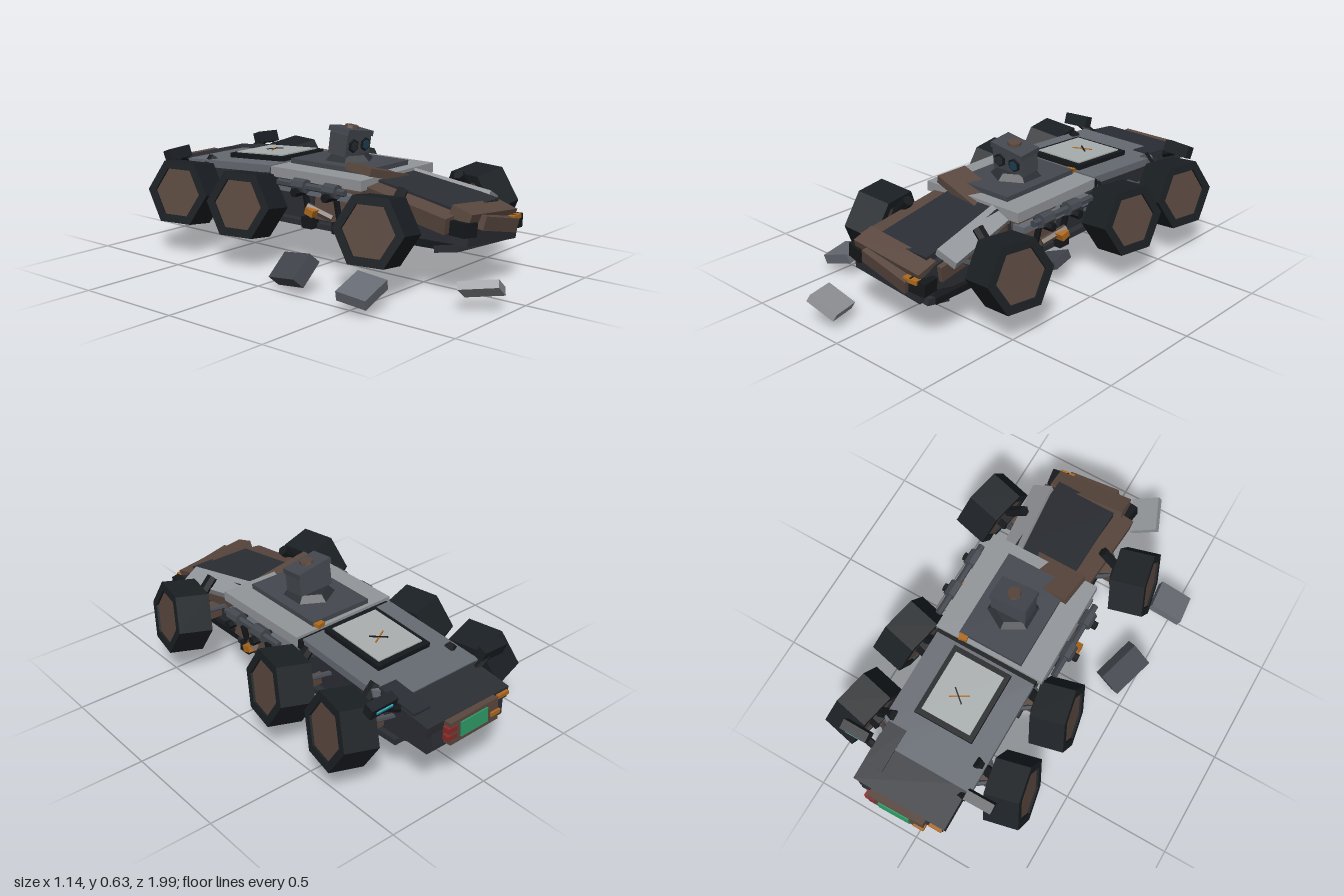
import * as THREE from 'three';

const C = {
  tyre: 0x1b2024, black: 0x15181b, dark: 0x2b2e34, slate: 0x44484f, grey: 0x666a72,
  light: 0x93969a, pale: 0xa9aeae, rust: 0x5a483f, amber: 0xb06a1c, red: 0x8a2a28,
  green: 0x2f9a66, cyan: 0x2aa5b8, lens: 0x1f4558,
};
const mats = {};
const mat = (c) => (mats[c] ??= new THREE.MeshStandardMaterial({ color: C[c], flatShading: true }));

function add(parent, name, geo, color, pos = [0, 0, 0], rot = [0, 0, 0]) {
  const m = new THREE.Mesh(geo, mat(color));
  m.name = name;
  m.position.set(...pos);
  m.rotation.set(...rot);
  parent.add(m);
  return m;
}
const box = (p, name, size, pos, color, rot) => add(p, name, new THREE.BoxGeometry(...size), color, pos, rot);

// Straight bar between two points
function rod(p, name, a, b, r, color, sides = 6) {
  const A = new THREE.Vector3(...a), d = new THREE.Vector3(...b).sub(A);
  const m = add(p, name, new THREE.CylinderGeometry(r, r, d.length(), sides), color);
  m.position.copy(A).addScaledVector(d, 0.5);
  m.quaternion.setFromUnitVectors(new THREE.Vector3(0, 1, 0), d.normalize());
  return m;
}

// Side profile (z, y) extruded across the width
function sideExtrude(points, width) {
  const shape = new THREE.Shape(points.map((q) => new THREE.Vector2(...q)));
  return new THREE.ExtrudeGeometry(shape, { depth: width, bevelEnabled: false })
    .rotateY(-Math.PI / 2).translate(width / 2, 0, 0);
}

// Hexagonal wheel, cambered and toed; s is the side (+1 or -1)
function wheel(p, s, z) {
  const g = new THREE.Group();
  g.name = 'wheel';
  g.position.set(s * 0.38, 0.27, z);
  g.rotation.set(0, -s * 0.2, s * 0.16);
  const ring = [[0.122, -0.08], [0.163, -0.08], [0.163, 0.08], [0.122, 0.08], [0.122, -0.08]];
  const tyre = new THREE.LatheGeometry(ring.map((q) => new THREE.Vector2(...q)), 6);
  const side = [0, 0, -Math.PI / 2];
  add(g, 'tyre', tyre, 'tyre', [0, 0, 0], side);
  add(g, 'wheelDisc', new THREE.CylinderGeometry(0.126, 0.126, 0.14, 6), 'rust', [0, 0, 0], side);
  add(g, 'innerHub', new THREE.CylinderGeometry(0.045, 0.045, 0.05, 6), 'black', [-s * 0.085, 0, 0], side);
  p.add(g);
}

function buildRunningGear(p) {
  for (const s of [1, -1]) for (const z of [0.475, -0.255, -0.645]) {
    wheel(p, s, z);
    box(p, 'axle', [0.16, 0.055, 0.06], [s * 0.24, 0.245, z - 0.01], 'rust');
    for (const dz of [0.1, -0.1])
      rod(p, 'suspensionArm', [s * 0.18, 0.3, z + dz], [s * 0.3, 0.25, z], 0.012, 'slate');
    rod(p, 'shockAbsorber', [s * 0.205, 0.41, z], [s * 0.29, 0.32, z], 0.025, 'black');
  }
}

function buildHull(p) {
  add(p, 'hull', sideExtrude([[0.74, 0.22], [0.76, 0.29], [0.7, 0.32], [0.3, 0.39], [-0.3, 0.4],
    [-0.75, 0.37], [-0.95, 0.345], [-0.96, 0.27], [-0.8, 0.21], [0.3, 0.19], [0.6, 0.19]], 0.38), 'dark');
  // Belly plates
  box(p, 'bellyPlate', [0.43, 0.025, 0.46], [0, 0.185, -0.55], 'dark', [0.04, 0, 0.02]);
  box(p, 'bellyPlate', [0.45, 0.025, 0.6], [0, 0.185, -0.04], 'dark', [0, 0.02, 0]);
  box(p, 'bellyPlate', [0.42, 0.03, 0.5], [0, 0.185, 0.48], 'black', [-0.02, 0.03, -0.06]);

  // Rear deck with a broken corner
  const d = new THREE.Shape([[-0.25, 0.23], [0.24, 0.23], [0.24, 0.67], [0.21, 0.69], [0.13, 0.69],
    [0.13, 0.77], [-0.25, 0.77]].map((q) => new THREE.Vector2(...q)));
  const deckGeo = new THREE.ExtrudeGeometry(d, { depth: 0.035, bevelEnabled: false });
  deckGeo.rotateX(-Math.PI / 2).translate(0, 0, 0.5);
  add(p, 'rearDeck', deckGeo, 'grey', [0, 0.378, -0.5], [-0.06, 0, 0]);

  // Roof hatch
  const hatch = new THREE.Group();
  hatch.name = 'hatch';
  hatch.position.set(-0.005, 0.422, -0.42);
  hatch.rotation.x = -0.06;
  box(hatch, 'hatchFrame', [0.285, 0.035, 0.34], [0, 0, 0], 'black');
  box(hatch, 'hatchPanel', [0.24, 0.01, 0.29], [0, 0.018, 0], 'pale');
  box(hatch, 'crack', [0.09, 0.004, 0.006], [0.005, 0.025, -0.02], 'amber', [0, 0.5, 0]);
  box(hatch, 'crack', [0.08, 0.004, 0.006], [0.01, 0.026, -0.02], 'black', [0, -0.7, 0]);
  p.add(hatch);

  // Middle deck
  box(p, 'middleDeck', [0.53, 0.045, 0.51], [-0.005, 0.41, 0.045], 'light', [0, 0.01, 0]);
  box(p, 'deckSeam', [0.5, 0.04, 0.03], [0, 0.4, -0.225], 'black');
  box(p, 'bentPlate', [0.32, 0.035, 0.15], [-0.04, 0.424, 0.245], 'rust', [0.06, -0.12, -0.24]);

  // Bonnet and its loosened side panels
  box(p, 'bonnet', [0.3, 0.04, 0.43], [0.005, 0.364, 0.5], 'dark', [0.17, 0, 0]);
  box(p, 'loosePanel', [0.1, 0.035, 0.38], [0.18, 0.365, 0.47], 'light', [0.16, 0.13, -0.45]);
  box(p, 'bonnetSide', [0.09, 0.07, 0.43], [-0.185, 0.335, 0.5], 'rust', [0.17, -0.04, 0.1]);
  box(p, 'bonnetSide', [0.07, 0.07, 0.4], [0.17, 0.31, 0.49], 'rust', [0.15, 0.03, -0.1]);
}

function buildNose(p) {
  box(p, 'nosePlate', [0.37, 0.05, 0.1], [0.0, 0.318, 0.74], 'rust', [0.3, 0, -0.12]);
  box(p, 'bumper', [0.26, 0.06, 0.07], [0.015, 0.28, 0.785], 'rust', [0.15, -0.04, -0.22]);
  box(p, 'lowerBumper', [0.38, 0.07, 0.08], [0, 0.235, 0.75], 'dark', [0.1, 0, -0.1]);
  box(p, 'skidPlate', [0.42, 0.03, 0.12], [0, 0.185, 0.7], 'dark', [-0.2, 0, -0.06]);
  for (const s of [1, -1])
    box(p, 'lampHousing', [0.08, 0.06, 0.08], [s * 0.18, 0.27 - s * 0.015, 0.76], 'black', [0, s * 0.15, -0.1]);
  box(p, 'indicator', [0.07, 0.018, 0.03], [0.155, 0.279, 0.795], 'amber', [0, 0.1, -0.02]);
}

function buildRear(p) {
  box(p, 'rearSlope', [0.45, 0.055, 0.22], [-0.005, 0.355, -0.845], 'dark', [-0.12, 0, 0]);
  box(p, 'rearRaisedPlate', [0.09, 0.03, 0.2], [0.17, 0.385, -0.775], 'dark', [-0.1, 0, 0.03]);
  box(p, 'rearBody', [0.42, 0.11, 0.14], [0, 0.295, -0.88], 'dark');
  box(p, 'tailPlate', [0.27, 0.1, 0.05], [-0.005, 0.318, -0.965], 'rust', [0.06, 0.02, 0]);
  box(p, 'display', [0.15, 0.065, 0.012], [0, 0.322, -0.991], 'green', [0.06, 0.02, 0]);
  for (const y of [0.34, 0.305]) box(p, 'tailLamp', [0.05, 0.022, 0.03], [0.12, y, -0.98], 'red');
  box(p, 'tailIndicator', [0.05, 0.018, 0.03], [-0.12, 0.31, -0.982], 'amber');
  box(p, 'sideIndicator', [0.06, 0.016, 0.03], [-0.19, 0.35, -0.955], 'amber');
  // Raised lamp pods on brackets
  for (const s of [1, -1]) {
    box(p, 'lampPod', [0.13, 0.055, 0.045], [s * 0.305, 0.425, -0.785], 'tyre', [-0.35, 0, -s * 0.05]);
    rod(p, 'podBracket', [s * 0.18, 0.36, -0.8], [s * 0.29, 0.41, -0.785], 0.018, 'black');
  }
  box(p, 'lampStrip', [0.08, 0.012, 0.01], [0.305, 0.42, -0.808], 'cyan', [-0.35, 0, -0.05]);
}

function buildSides(p) {
  for (const s of [1, -1]) {
    box(p, 'sidePanel', [0.04, 0.15, 0.24], [s * 0.215, 0.295, 0.14], 'rust', [0, 0, s * 0.08]);
    box(p, 'sidePanel', [0.04, 0.13, 0.28], [s * 0.205, 0.29, -0.14], 'dark');
    box(p, 'sill', [0.06, 0.03, 0.46], [s * 0.24, 0.345, 0.04], 'grey');
    rod(p, 'pipe', [s * 0.295, 0.375, 0.24], [s * 0.295, 0.375, -0.14], 0.016, 'slate');
    for (const z of [-0.01, 0.165]) {
      rod(p, 'canister', [s * 0.295, 0.375, z - 0.035], [s * 0.295, 0.375, z + 0.035], 0.032, 'slate', 8);
      rod(p, 'clamp', [s * 0.24, 0.35, z], [s * 0.345, 0.35, z], 0.02, 'black');
      rod(p, 'downPipe', [s * 0.27, 0.36, z], [s * 0.235, 0.2, z], 0.014, 'black');
      box(p, 'pipeFoot', [0.05, 0.05, 0.06], [s * 0.235, 0.2, z], 'black');
    }
    rod(p, 'brokenPipe', [s * 0.25, 0.24, 0.13], [s * 0.3, 0.29, 0.03], 0.018, 'rust');
    box(p, 'warningLamp', [0.04, 0.03, 0.045], [s * 0.305, 0.27, 0.06], 'amber', [0.3, 0, 0]);
  }
  box(p, 'deckLamp', [0.04, 0.02, 0.03], [0.125, 0.44, -0.2], 'amber', [0, 0.2, 0]);
}

function buildTurret(p) {
  box(p, 'turretPlate', [0.31, 0.024, 0.43], [-0.005, 0.442, 0.025], 'slate');
  add(p, 'turretBase', new THREE.CylinderGeometry(0.085, 0.118, 0.03, 6), 'dark', [0, 0.466, 0.02]);
  add(p, 'neck', new THREE.CylinderGeometry(0.04, 0.05, 0.03, 6), 'black', [0, 0.485, 0.02]);
  const head = new THREE.Group();
  head.name = 'sensorHead';
  head.position.set(0, 0.535, 0.025);
  head.rotation.set(0.12, 0, -0.03);
  box(head, 'headShell', [0.172, 0.1, 0.1], [0, -0.005, 0], 'slate');
  box(head, 'headLid', [0.18, 0.025, 0.115], [0, 0.05, 0], 'slate', [0, 0, -0.12]);
  add(head, 'cap', new THREE.CylinderGeometry(0.03, 0.033, 0.016, 8), 'rust', [0, 0.068, 0], [0, 0, -0.1]);
  for (const s of [1, -1]) {
    add(head, 'eyeRing', new THREE.CylinderGeometry(0.031, 0.031, 0.02, 6), 'black', [s * 0.042, -0.005, 0.05], [Math.PI / 2, 0, 0]);
    add(head, 'eyeLens', new THREE.CylinderGeometry(0.023, 0.023, 0.02, 6), s > 0 ? 'lens' : 'dark', [s * 0.042, -0.005, 0.053], [Math.PI / 2, 0, 0]);
  }
  p.add(head);
}

// Broken-off plates lying around
function buildDebris(p) {
  box(p, 'debris', [0.13, 0.06, 0.21], [-0.435, 0.075, 0.145], 'slate', [-0.2, -0.3, 0.75]);
  box(p, 'debris', [0.16, 0.045, 0.14], [-0.475, 0.075, 0.54], 'grey', [0.12, 0.1, 0.3]);
  box(p, 'debris', [0.14, 0.035, 0.165], [-0.16, 0.077, 0.892], 'light', [-0.15, 0.4, -0.45]);
  box(p, 'debris', [0.16, 0.04, 0.12], [0.25, 0.075, -0.01], 'slate', [0.1, 0.15, 0.35]);
}

export function createModel() {
  const model = new THREE.Group();
  model.name = 'wreckedRover';
  const rover = new THREE.Group();
  rover.name = 'rover';
  rover.position.x = 0.08;
  for (const build of [buildRunningGear, buildHull, buildNose, buildRear, buildSides, buildTurret]) build(rover);
  model.add(rover);
  buildDebris(model);
  return model;
}
